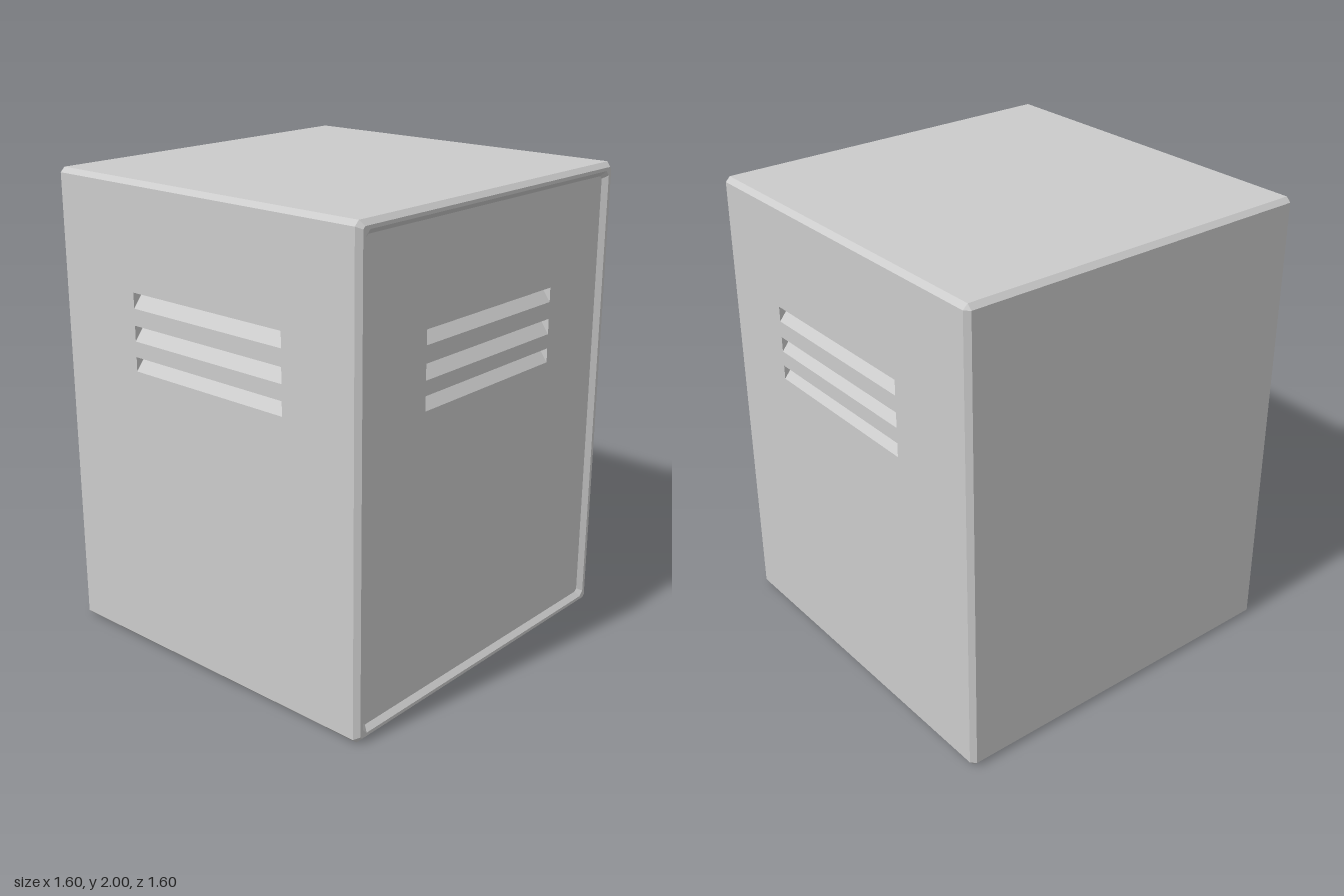
import * as THREE from 'three';
import { mergeGeometries } from 'three/addons/utils/BufferGeometryUtils.js';

const material = new THREE.MeshStandardMaterial({ color: 0xcccccc, flatShading: true });
const MID = 1; // height of the cabinet's centre
const THICK = 0.045; // wall thickness
const SLOT_WIDTH = 0.8;

function addMesh(parent, name, geometry) {
  const mesh = new THREE.Mesh(geometry, material);
  mesh.name = name;
  parent.add(mesh);
  return mesh;
}

function box(w, h, d, x, y, z) {
  return new THREE.BoxGeometry(w, h, d).translate(x, y, z);
}

// Rectangle with cut corners, counter-clockwise seen from the front
function ring({ w, h, c, z }) {
  return [
    [w, c - h], [w, h - c], [w - c, h], [c - w, h],
    [-w, h - c], [-w, c - h], [c - w, -h], [w - c, -h],
  ].map(([x, y]) => [x, y + MID, z]);
}

// Outer casing: rings from the back face to the recessed door opening
function casingGeometry() {
  const rings = [
    { w: 0, h: 0, c: 0, z: -0.8 },
    { w: 0.78, h: 0.98, c: 0, z: -0.8 },
    { w: 0.8, h: 1, c: 0.02, z: -0.78 },
    { w: 0.8, h: 1, c: 0.02, z: 0.78 },
    { w: 0.78, h: 0.98, c: 0.01, z: 0.8 },
    { w: 0.764, h: 0.966, c: 0.02, z: 0.8 },
    { w: 0.743, h: 0.945, c: 0.012, z: 0.78 },
  ].map(ring);
  const positions = [];
  for (let i = 0; i < rings.length - 1; i++) {
    for (let j = 0; j < 8; j++) {
      if (i === 2 && j % 4 === 0) continue; // the slotted side walls go here
      const k = (j + 1) % 8;
      const [a, b, c, d] = [rings[i][j], rings[i][k], rings[i + 1][k], rings[i + 1][j]];
      positions.push(...a, ...b, ...c, ...a, ...c, ...d);
    }
  }
  const geometry = new THREE.BufferGeometry();
  geometry.setAttribute('position', new THREE.Float32BufferAttribute(positions, 3));
  geometry.computeVertexNormals();
  return geometry;
}

// Wall facing +z with slanted vent slots; slots are [bottom, top] from low to high
function ventedWall(halfWidth, bottom, top, slots, centre, rise) {
  const left = centre - SLOT_WIDTH / 2;
  const right = centre + SLOT_WIDTH / 2;
  const parts = [[-halfWidth, left], [right, halfWidth]].map(([a, b]) =>
    box(b - a, top - bottom, THICK, (a + b) / 2, (top + bottom) / 2, -THICK / 2));
  // Strips between the slots, extruded across the slot width
  for (let i = 0; i <= slots.length; i++) {
    const low = i === 0 ? bottom : slots[i - 1][1];
    const high = i === slots.length ? top : slots[i][0];
    const innerLow = i === 0 ? low : low + rise;
    const innerHigh = i === slots.length ? high : high + rise;
    const profile = new THREE.Shape([
      new THREE.Vector2(0, low), new THREE.Vector2(0, high),
      new THREE.Vector2(-THICK, innerHigh), new THREE.Vector2(-THICK, innerLow),
    ]);
    const strip = new THREE.ExtrudeGeometry(profile, { depth: SLOT_WIDTH, bevelEnabled: false });
    parts.push(strip.rotateY(-Math.PI / 2).translate(right, 0, 0));
  }
  return mergeGeometries(parts.map((p) => p.toNonIndexed ? (p.index ? p.toNonIndexed() : p) : p));
}

export function createModel() {
  const cabinet = new THREE.Group();
  cabinet.name = 'cabinet';

  addMesh(cabinet, 'casing', casingGeometry());

  // Recessed front door
  const doorSlots = [[1.225, 1.285], [1.345, 1.41], [1.48, 1.54]];
  const door = addMesh(cabinet, 'door', ventedWall(0.743, 0.055, 1.945, doorSlots, 0, 0.063));
  door.position.z = 0.78;

  // Slotted side walls, mirrored
  const sideSlots = [[1.23, 1.29], [1.355, 1.42], [1.49, 1.555]];
  for (const side of [1, -1]) {
    const geometry = ventedWall(0.78, 0.02, 1.98, sideSlots, -0.033 * side, 0.057);
    const wall = addMesh(cabinet, side > 0 ? 'leftWall' : 'rightWall', geometry);
    wall.position.x = 0.8 * side;
    wall.rotation.y = side * Math.PI / 2;
  }

  // Inner faces of the hollow interior
  addMesh(cabinet, 'innerTop', box(1.53, 0.03, 1.53, 0, 1.97, 0));
  addMesh(cabinet, 'innerFloor', box(1.53, 0.03, 1.53, 0, 0.03, 0));
  addMesh(cabinet, 'innerBack', box(1.53, 1.93, 0.03, 0, MID, -0.77));

  return cabinet;
}
